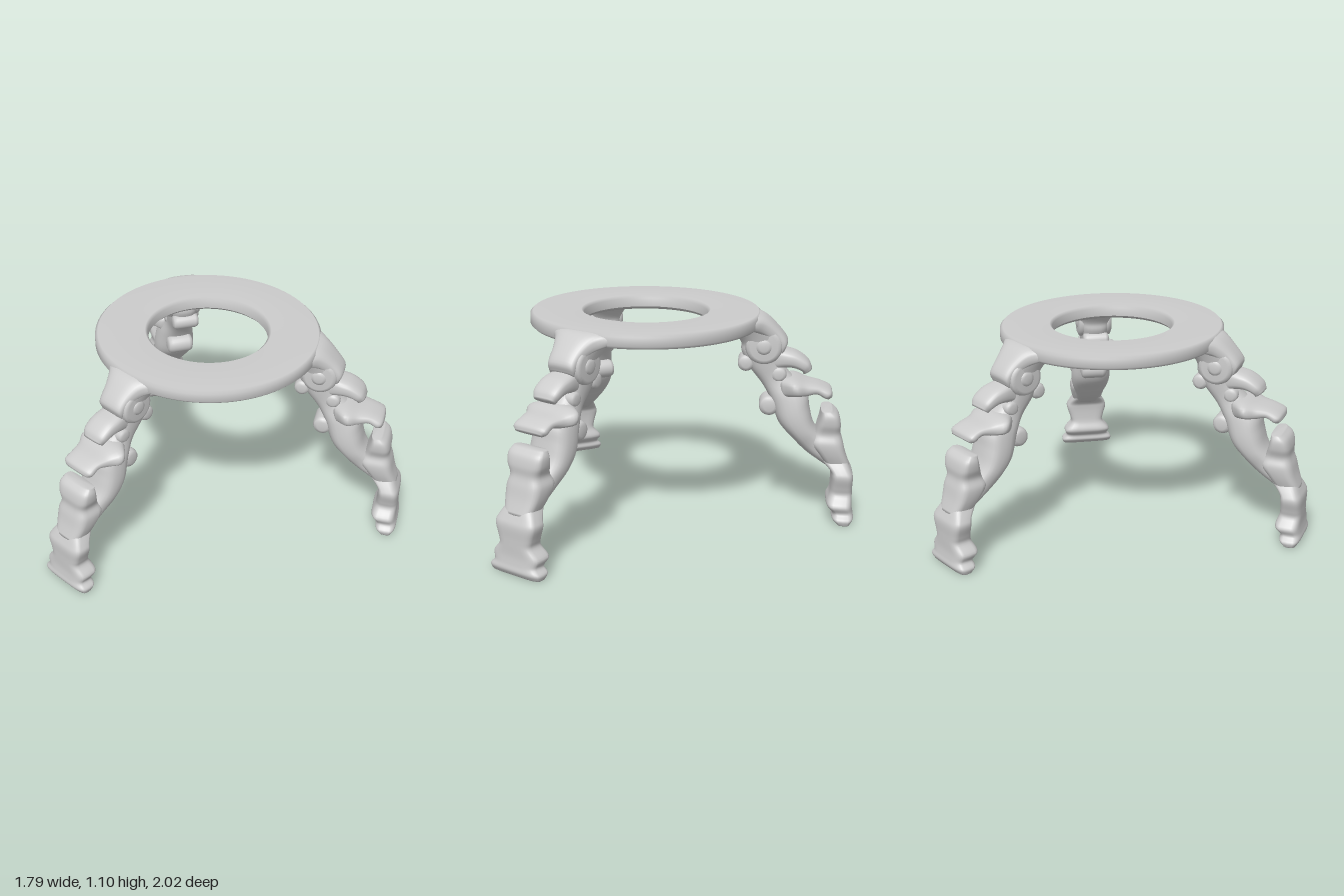
import * as THREE from 'three';

const material = new THREE.MeshStandardMaterial({ color: 0xcccccc });

function named(geometry, name) {
  const mesh = new THREE.Mesh(geometry, material);
  mesh.name = name;
  return mesh;
}

// Smooth loft through stations [innerR, innerY, outerR, outerY, halfWidth];
// each section is a rounded box spanning inner to outer edge.
function loft(stations, name, square = 0.6) {
  const sides = 28, rows = (stations.length - 1) * 5;
  const inner = new THREE.CatmullRomCurve3(
    stations.map(s => new THREE.Vector3(s[0], s[1], s[4])), false, 'catmullrom', 0.5);
  const outer = new THREE.CatmullRomCurve3(
    stations.map(s => new THREE.Vector3(s[2], s[3], 0)), false, 'catmullrom', 0.5);
  const soft = v => Math.sign(v) * Math.pow(Math.abs(v), square);
  const pos = [], index = [];
  // collapsed rings at both ends close the shape
  for (let k = -1; k <= rows + 1; k++) {
    const t = Math.min(Math.max(k / rows, 0), 1);
    const scale = k < 0 || k > rows ? 0 : 1;
    const a = inner.getPoint(t), b = outer.getPoint(t);
    for (let j = 0; j < sides; j++) {
      const ang = (j / sides) * Math.PI * 2;
      const c = soft(Math.cos(ang)) * scale, s = soft(Math.sin(ang)) * scale;
      pos.push((a.x + b.x) / 2 + c * (b.x - a.x) / 2, (a.y + b.y) / 2 + c * (b.y - a.y) / 2, s * a.z);
    }
  }
  for (let i = 0; i < rows + 2; i++) {
    for (let j = 0; j < sides; j++) {
      const p = i * sides + j, q = i * sides + (j + 1) % sides;
      index.push(p, q, p + sides, q, q + sides, p + sides);
    }
  }
  const g = new THREE.BufferGeometry();
  g.setAttribute('position', new THREE.Float32BufferAttribute(pos, 3));
  g.setIndex(index);
  g.computeVertexNormals();
  return named(g, name);
}

// Rounded scroll lying across the leg
function scroll(r, y, radius, half, name) {
  const e = Math.min(0.025, radius * 0.5);
  const profile = [[0, -half], [radius - e, -half], [radius - e * 0.3, -half + e * 0.3], [radius, -half + e],
    [radius, half - e], [radius - e * 0.3, half - e * 0.3], [radius - e, half], [0, half]]
    .map(p => new THREE.Vector2(p[0], p[1]));
  const g = new THREE.LatheGeometry(profile, 28);
  g.rotateX(Math.PI / 2);
  g.translate(r, y, 0);
  return named(g, name);
}

function createLeg() {
  const leg = new THREE.Group();
  leg.name = 'leg';
  leg.add(
    // flared neck blending the ring into the leg
    loft([
      [0.48, 1.035, 0.48, 1.10, 0.21],
      [0.55, 1.02, 0.55, 1.103, 0.175],
      [0.60, 0.99, 0.61, 1.09, 0.12],
      [0.65, 0.95, 0.67, 1.04, 0.09],
      [0.68, 0.91, 0.725, 0.97, 0.08],
      [0.68, 0.89, 0.715, 0.92, 0.07]
    ], 'neck', 0.7),
    // curved strut from ring to foot
    loft([
      [0.38, 1.05, 0.57, 1.095, 0.16],
      [0.44, 1.01, 0.64, 1.06, 0.125],
      [0.485, 0.95, 0.70, 1.0, 0.10],
      [0.49, 0.90, 0.71, 0.93, 0.09],
      [0.53, 0.82, 0.70, 0.86, 0.08],
      [0.60, 0.73, 0.74, 0.79, 0.075],
      [0.645, 0.65, 0.83, 0.70, 0.10],
      [0.69, 0.53, 0.85, 0.61, 0.115],
      [0.76, 0.45, 0.875, 0.52, 0.11],
      [0.84, 0.37, 0.93, 0.45, 0.085],
      [0.94, 0.30, 1.04, 0.36, 0.075]
    ], 'strut', 0.8),
    // stepped foot
    loft([
      [0.91, 0.34, 1.04, 0.36, 0.07],
      [0.965, 0.285, 1.075, 0.29, 0.11],
      [0.975, 0.25, 1.09, 0.25, 0.122],
      [0.975, 0.19, 1.09, 0.19, 0.105],
      [0.97, 0.15, 1.09, 0.15, 0.10],
      [0.955, 0.10, 1.09, 0.10, 0.14],
      [0.985, 0.06, 1.095, 0.06, 0.13],
      [0.985, 0.03, 1.10, 0.03, 0.155],
      [1.01, 0.003, 1.085, 0.003, 0.15]
    ], 'foot', 0.5),
    // upright leaf above the foot
    loft([
      [0.91, 0.605, 0.965, 0.61, 0.095],
      [0.905, 0.57, 1.0, 0.58, 0.108],
      [0.895, 0.53, 1.015, 0.53, 0.105],
      [0.88, 0.48, 1.015, 0.48, 0.09],
      [0.86, 0.43, 1.03, 0.43, 0.105],
      [0.90, 0.37, 1.045, 0.37, 0.10],
      [0.95, 0.30, 1.07, 0.30, 0.08]
    ], 'lowerLeaf', 0.55),
    // leaf curling outward at mid height
    loft([
      [0.70, 0.66, 0.69, 0.77, 0.08],
      [0.78, 0.68, 0.76, 0.775, 0.155],
      [0.83, 0.68, 0.83, 0.755, 0.12],
      [0.88, 0.69, 0.90, 0.74, 0.10],
      [0.92, 0.67, 0.955, 0.715, 0.10],
      [0.935, 0.665, 0.965, 0.685, 0.08]
    ], 'middleLeaf', 0.7),
    // smaller leaf curling outward near the top
    loft([
      [0.64, 0.80, 0.64, 0.94, 0.07],
      [0.71, 0.82, 0.72, 0.92, 0.08],
      [0.76, 0.82, 0.78, 0.90, 0.08],
      [0.80, 0.805, 0.835, 0.86, 0.075],
      [0.81, 0.79, 0.855, 0.82, 0.06]
    ], 'upperLeaf', 0.7),
    // scrolls
    scroll(0.605, 0.94, 0.095, 0.098, 'sideRosette'),
    scroll(0.605, 0.94, 0.045, 0.105, 'rosetteCentre'),
    scroll(0.515, 0.845, 0.042, 0.075, 'upperInnerScroll'),
    scroll(0.64, 0.62, 0.052, 0.075, 'lowerInnerScroll'),
    scroll(0.685, 0.79, 0.04, 0.08, 'middleScroll')
  );
  return leg;
}

export function createModel() {
  const model = new THREE.Group();
  model.name = 'tripodStand';

  // flat ring with softened rims, closed profile
  const rim = [[0.32, 1.045], [0.335, 1.03], [0.585, 1.03], [0.60, 1.045],
    [0.60, 1.09], [0.585, 1.105], [0.335, 1.105], [0.32, 1.09], [0.32, 1.045]]
    .map(p => new THREE.Vector2(p[0], p[1]));
  const ring = named(new THREE.LatheGeometry(rim, 96), 'ring');
  ring.position.x = 0.21;
  model.add(ring);

  // three legs, evenly spaced; the two on the +x side stand slightly further out
  for (let i = 0; i < 3; i++) {
    const leg = createLeg();
    leg.rotation.y = Math.PI + (i * Math.PI * 2) / 3;
    leg.position.x = i === 0 ? 0.21 : 0.232;
    model.add(leg);
  }
  return model;
}
